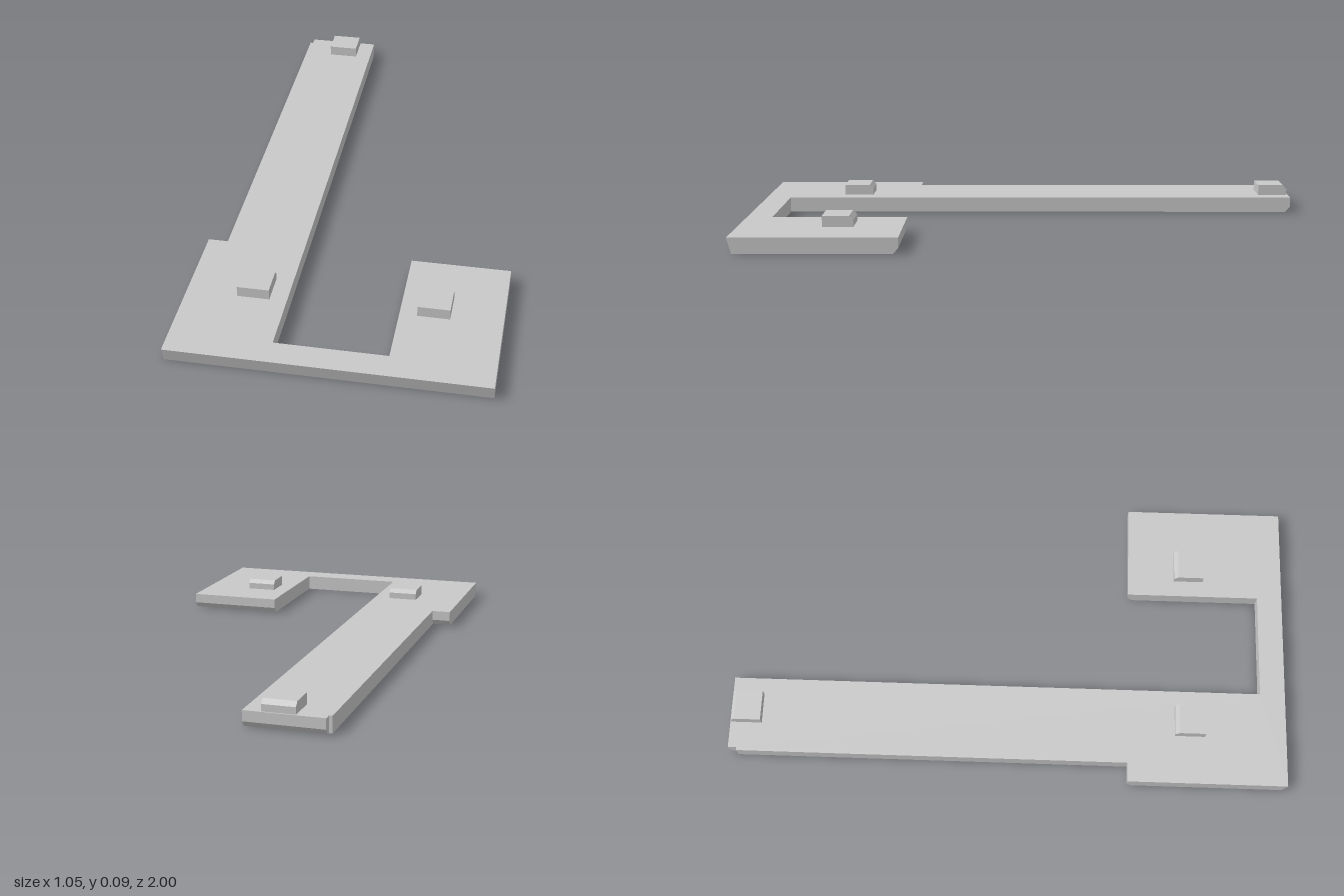
import * as THREE from 'three';

const lightGrey = new THREE.MeshStandardMaterial({ color: 0xc8c8c8 });
lightGrey.name = 'lightGrey';

// Extrude a flat outline of [a, b] points by depth
function extrude(points, depth, steps) {
  const shape = new THREE.Shape(points.map(([a, b]) => new THREE.Vector2(a, b)));
  return new THREE.ExtrudeGeometry(shape, { depth, steps, bevelEnabled: false });
}

// J-shaped plate with a sloped front edge and chamfered lower back edges
function makePlate() {
  const top = 0.055, chamferY = 0.02;
  const outline = [
    [-0.527, 1], [0.527, 1], [0.527, 0.43], [0.187, 0.43], [0.187, 0.91], [-0.187, 0.91],
    [-0.187, -1], [-0.448, -1], [-0.448, -0.97], [-0.459, -0.97], [-0.459, 0.43], [-0.527, 0.43],
  ].map(([x, z]) => [x, -z]);
  const geo = extrude(outline, top, 2).rotateX(-Math.PI / 2);
  const pos = geo.attributes.position;
  const near = (a, b) => Math.abs(a - b) < 1e-4;
  for (let i = 0; i < pos.count; i++) {
    let y = pos.getY(i), z = pos.getZ(i);
    if (near(y, top / 2)) y = chamferY;
    if (near(z, 1)) z -= 0.015 * (1 - y / top);
    else if (near(y, 0) && (near(z, -1) || near(z, 0.43))) z += 0.018;
    pos.setXYZ(i, pos.getX(i), y, z);
  }
  geo.computeVertexNormals();
  return new THREE.Mesh(geo, lightGrey);
}

// Small locating block with a chamfered upper back edge
function makePeg(x, backZ) {
  const w = 0.108, len = 0.108, y0 = 0.05, y1 = 0.093;
  const profile = [[0, y0], [0, y1 - 0.015], [-0.014, y1], [-len, y1], [-len, y0]];
  const geo = extrude(profile, w, 1).translate(0, 0, -w / 2).rotateY(Math.PI / 2);
  const peg = new THREE.Mesh(geo, lightGrey);
  peg.position.set(x, 0, backZ);
  return peg;
}

export function createModel() {
  const model = new THREE.Group();
  model.name = 'bracket';
  const plate = makePlate();
  plate.name = 'plate';
  model.add(plate);
  const pegs = { frontRightPeg: [-0.3, 0.6], frontLeftPeg: [0.3, 0.6], backPeg: [-0.3, -0.995] };
  for (const [name, [x, z]] of Object.entries(pegs)) {
    const peg = makePeg(x, z);
    peg.name = name;
    model.add(peg);
  }
  return model;
}
